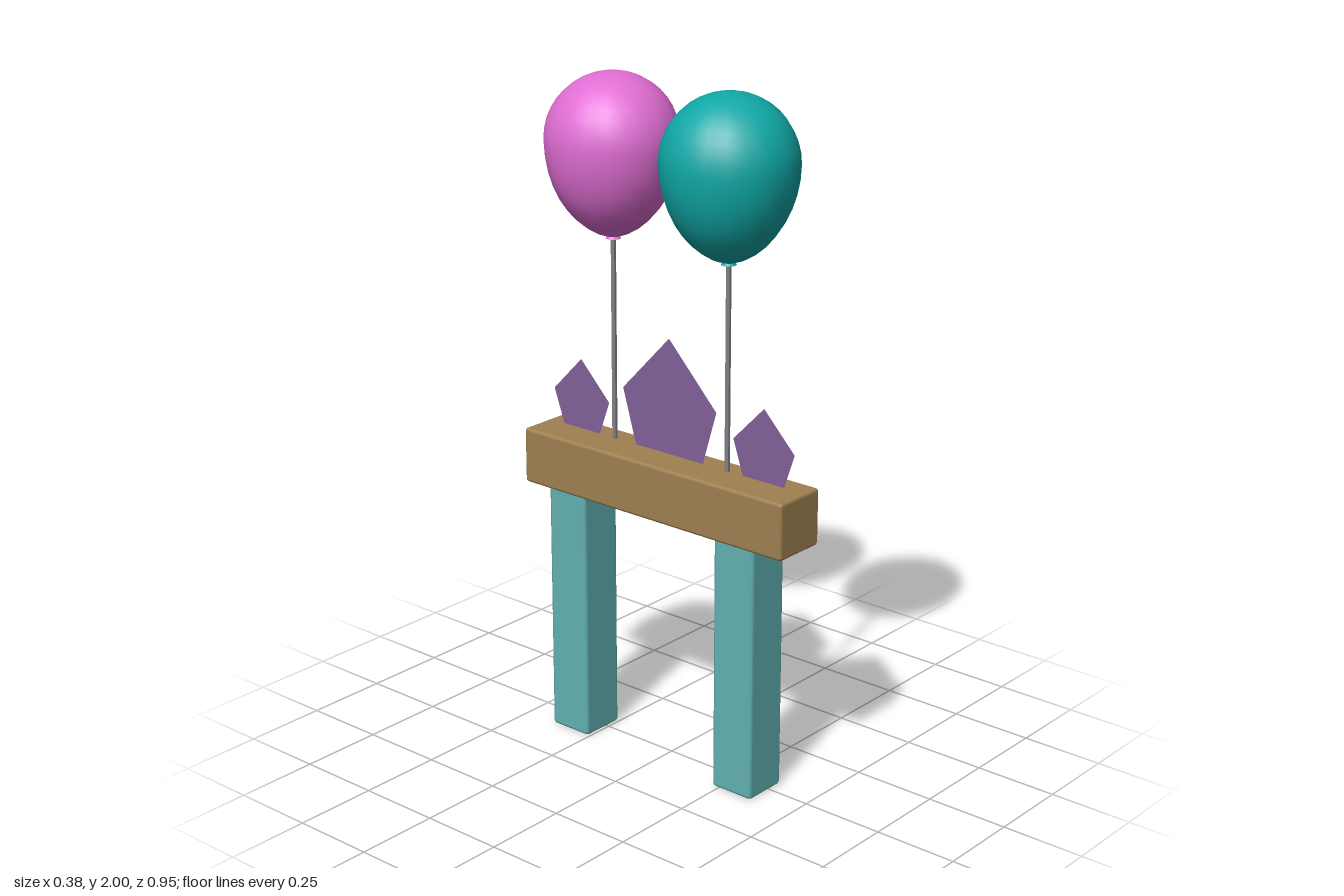
import * as THREE from 'three';
import { RoundedBoxGeometry } from 'three/addons/geometries/RoundedBoxGeometry.js';

const paint = (color, side = THREE.FrontSide) => new THREE.MeshStandardMaterial({ color, side });

export function createModel() {
  const model = new THREE.Group();
  const add = (name, geometry, material, x = 0, y = 0, z = 0) => {
    const mesh = new THREE.Mesh(geometry, material);
    mesh.name = name;
    mesh.position.set(x, y, z);
    model.add(mesh);
  };

  // Wooden beam on two posts, with slightly softened edges
  add('beam', new RoundedBoxGeometry(0.17, 0.168, 0.95, 1, 0.01), paint(0xa08050), -0.02, 0.849, 0);
  const postGeometry = new RoundedBoxGeometry(0.14, 0.775, 0.14, 1, 0.01);
  const postPaint = paint(0x62b0b2);
  add('frontPost', postGeometry, postPaint, -0.02, 0.3875, 0.298);
  add('backPost', postGeometry, postPaint, -0.02, 0.3875, -0.324);

  // Flat five-sided crystals standing along the beam
  const crystalPaint = paint(0x80609a, THREE.DoubleSide);
  const addCrystal = (name, z, halfWidth, halfBase, shoulder, height) => {
    const outline = new THREE.Shape([
      [-halfBase, -0.005], [halfBase, -0.005], [halfWidth, shoulder], [0, height], [-halfWidth, shoulder],
    ].map(([u, v]) => new THREE.Vector2(u, v)));
    add(name, new THREE.ShapeGeometry(outline).rotateY(Math.PI / 2), crystalPaint, 0, 0.93, z);
  };
  addCrystal('frontCrystal', 0.33, 0.107, 0.07, 0.105, 0.215);
  addCrystal('middleCrystal', -0.01, 0.172, 0.122, 0.165, 0.345);
  addCrystal('backCrystal', -0.343, 0.107, 0.067, 0.105, 0.215);

  // Balloon profile: tapering lower half, then a round dome
  const radius = 0.192, middle = 1.808;
  const profile = [];
  for (let i = 1; i <= 20; i++) {
    const t = -Math.PI / 2 + (i / 20) * Math.PI;
    const c = Math.max(Math.cos(t), 0);
    profile.push(t < 0
      ? new THREE.Vector2(radius * Math.pow(c, 1.15), middle + 0.275 * Math.sin(t))
      : new THREE.Vector2(radius * c, middle + radius * Math.sin(t)));
  }
  const balloonGeometry = new THREE.LatheGeometry(profile, 20);
  const knotGeometry = new THREE.CylinderGeometry(0.012, 0.022, 0.016, 12);
  const stringGeometry = new THREE.BoxGeometry(0.008, 0.62, 0.013);
  const stringPaint = paint(0x808284);

  // Two balloons on upright strings
  for (const [name, color, z] of [['front', 0x10a8a6, 0.202], ['back', 0xe06ed4, -0.215]]) {
    const skin = paint(color);
    add(name + 'Balloon', balloonGeometry, skin, 0, 0, z);
    add(name + 'Knot', knotGeometry, skin, 0, 1.536, z);
    add(name + 'String', stringGeometry, stringPaint, 0, 1.235, z);
  }
  return model;
}
